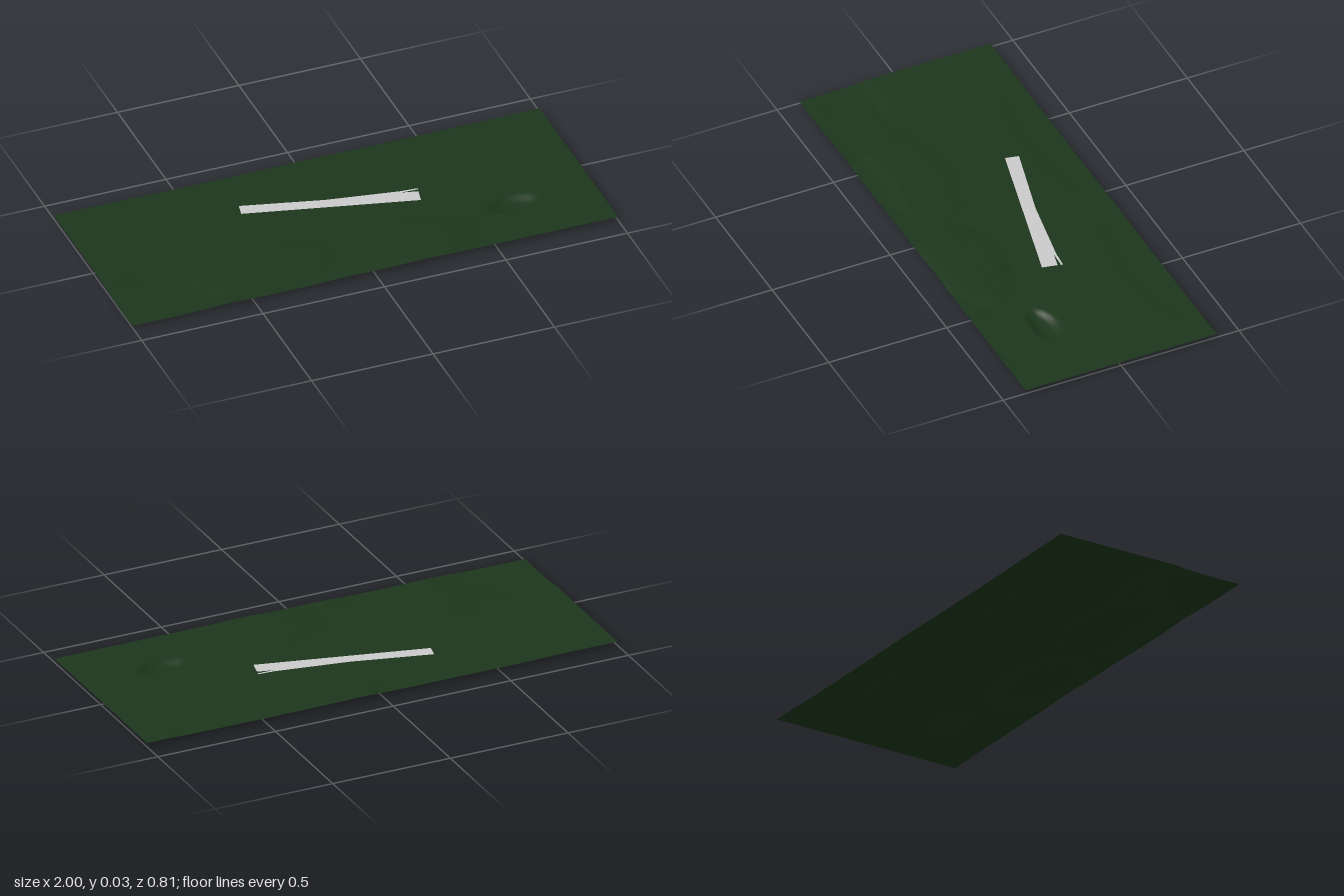
import * as THREE from 'three';

// Smooth mound or hollow: [x, z, radiusX, radiusZ, height]
const features = [
  [0.2, 0.27, 0.28, 0.15, 0.009],
  [-0.4, 0.22, 0.32, 0.16, 0.004],
  [-0.9, 0.33, 0.32, 0.22, -0.008],
  [-0.4, 0.38, 0.25, 0.08, -0.004],
  [-0.75, 0.12, 0.2, 0.07, -0.004],
  [0.66, 0.165, 0.1, 0.05, -0.016],
  [-0.35, -0.38, 0.4, 0.14, -0.003],
  [0.5, -0.38, 0.4, 0.14, -0.003],
];

function groundHeight(x, z) {
  let y = 0.016;
  for (const [cx, cz, rx, rz, h] of features) {
    const d = ((x - cx) / rx) ** 2 + ((z - cz) / rz) ** 2;
    if (d < 1) y += h * (1 - d * d);
  }
  // Low ripples running along x, only on the front half
  const rough = THREE.MathUtils.smoothstep(z, 0.04, 0.2);
  y += rough * 0.0008 * Math.sin(9 * x + 3 * Math.sin(14 * z)) * Math.sin(48 * z + 4 * x);
  return Math.max(0, y);
}

export function createModel() {
  const model = new THREE.Group();

  // Thin sheet of gently uneven land
  const land = new THREE.PlaneGeometry(2, 0.81, 120, 60).rotateX(-Math.PI / 2);
  const p = land.attributes.position;
  let lowest = Infinity;
  for (let i = 0; i < p.count; i++) {
    p.setY(i, groundHeight(p.getX(i), p.getZ(i)));
    lowest = Math.min(lowest, p.getY(i));
  }
  land.translate(0, -lowest, 0);
  land.computeVertexNormals();
  const ground = new THREE.Mesh(land, new THREE.MeshStandardMaterial({ color: 0x1c361b, side: THREE.DoubleSide }));
  ground.name = 'ground';
  model.add(ground);

  // Flat paved strip with a narrow spur at its right end, outlined in x and z
  const outline = [
    [-0.32, -0.2], [0, -0.117], [0.29, -0.066], [0.36, -0.061], [0.36, -0.053],
    [0.29, -0.056], [0.355, -0.04], [0.342, 0.02], [-0.332, -0.146],
  ];
  const shape = new THREE.Shape(outline.map(([x, z]) => new THREE.Vector2(x, -z)));
  const paving = new THREE.ShapeGeometry(shape).rotateX(-Math.PI / 2).translate(0, 0.0185, 0);
  const strip = new THREE.Mesh(paving, new THREE.MeshStandardMaterial({ color: 0xcccccc }));
  strip.name = 'runway';
  model.add(strip);

  return model;
}
